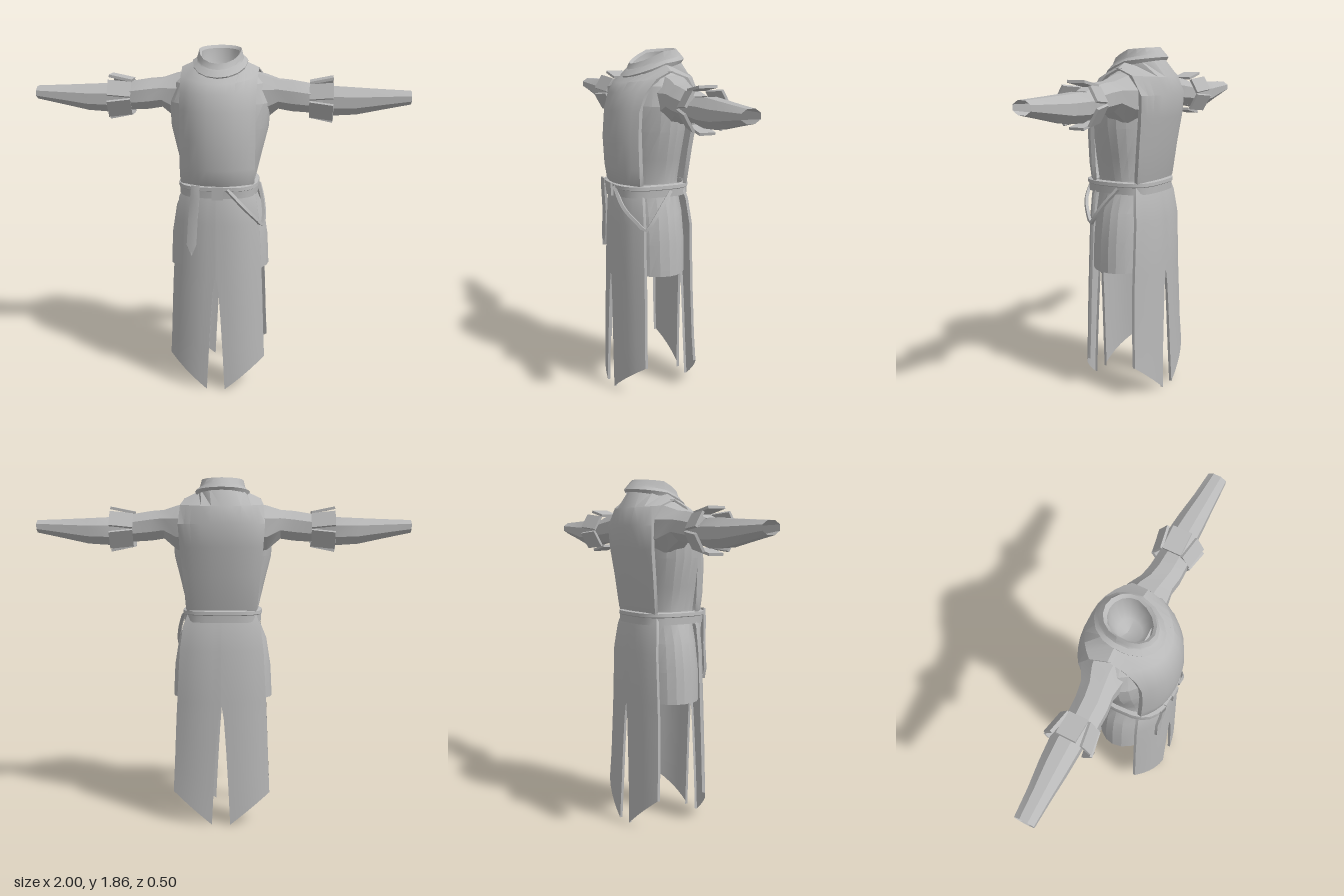
import * as THREE from 'three';
import { toCreasedNormals } from 'three/addons/utils/BufferGeometryUtils.js';

const cloth = new THREE.MeshStandardMaterial({ color: 0xb8b8b8, side: THREE.DoubleSide });
cloth.name = 'grey cloth';

function addMesh(parent, name, geometry) {
  const mesh = new THREE.Mesh(geometry, cloth);
  mesh.name = name;
  parent.add(mesh);
  return mesh;
}

// Surface through rows of [x, y, z] points with equal counts
function sheet(rows, crease = 0.55) {
  const n = rows[0].length, index = [];
  for (let r = 0; r < rows.length - 1; r++)
    for (let c = 0; c < n - 1; c++) {
      const a = r * n + c, b = a + 1, d = a + n, e = d + 1;
      index.push(a, b, e, a, e, d);
    }
  const g = new THREE.BufferGeometry();
  g.setAttribute('position', new THREE.Float32BufferAttribute(rows.flat(2), 3));
  g.setIndex(index);
  return toCreasedNormals(g, crease);
}

// Cloth panel with its two long edges turned inward to show thickness
function panel(parent, name, rows, inX, inZ) {
  addMesh(parent, name, sheet(rows));
  const last = rows[0].length - 1;
  for (const c of [0, last]) {
    const edge = rows.map(r => r[c]);
    addMesh(parent, name + 'Edge', sheet([edge, edge.map(([x, y, z]) => [x - Math.sign(x) * inX, y, z + inZ])]));
  }
}

// Horizontal closed ring; front and back depths differ, power squares the corners
function ring(y, hw, zf, zb, power = 2, n = 24) {
  const pts = [];
  for (let i = 0; i <= n; i++) {
    const a = (i / n) * Math.PI * 2, s = Math.sin(a), c = Math.cos(a), e = 2 / power;
    pts.push([hw * Math.sign(s) * Math.abs(s) ** e, y, (c > 0 ? zf : -zb) * Math.sign(c) * Math.abs(c) ** e]);
  }
  return pts;
}

// Tilted neck ring: depths and heights at front, side and back
function neckRing(hx, zf, zb, yf, ys, yb, n = 16) {
  const pts = [];
  for (let i = 0; i <= n; i++) {
    const a = (i / n) * Math.PI * 2, c = Math.cos(a), k = Math.abs(c);
    pts.push([hx * Math.sin(a), ys + ((c > 0 ? yf : yb) - ys) * k, -0.03 + ((c > 0 ? zf : zb) + 0.03) * k]);
  }
  return pts;
}

// Ring around the arm axis
function armRing([x, y, z, ry, rz], n = 8) {
  const pts = [];
  for (let i = 0; i <= n; i++) {
    const a = ((i + 0.5) / n) * Math.PI * 2;
    pts.push([x, y + ry * Math.cos(a), z + rz * Math.sin(a)]);
  }
  return pts;
}

const columns = [-1, -0.85, -0.7, -0.47, -0.23, 0, 0.23, 0.47, 0.7, 0.85, 1];

function torsoPanel(parent, name, profile, depth, rise) {
  const rows = profile.map(([y, hw, zc, ze, ye = y]) => columns.map(s => [
    s * hw, ye + (y - ye) * (1 - s * s), ze + (zc - ze) * (1 - Math.abs(s) ** 2.4)]));
  // Last row follows the neckline, then the shoulder seam
  rows.push(columns.map(s => {
    const t = Math.abs(s);
    if (t > 0.71) return [Math.sign(s) * (0.13 + 0.075 * (t - 0.7) / 0.3), 1.79 - 0.035 * (t - 0.7) / 0.3, -0.03];
    const a = (s / 0.7) * Math.PI / 2;
    return [0.13 * Math.sin(a), 1.79 + rise * Math.cos(a), -0.03 + depth * Math.cos(a)];
  }));
  panel(parent, name, rows, 0.004, -Math.sign(depth) * 0.022);
}

// Half of a split skirt: rows of [inner y, outer y, inner x, outer x, centre z, edge z]
function skirtPanel(parent, name, profile, side) {
  const rows = profile.map(([yi, yo, xi, xo, zc, ze]) => [0, 0.2, 0.4, 0.6, 0.8, 1].map(t => {
    const x = xi + (xo - xi) * t;
    return [side * x, yi + (yo - yi) * t, ze + (zc - ze) * (1 - (x / xo) ** 2.5)];
  }));
  panel(parent, name, rows, 0, profile[0][4] > 0 ? -0.015 : 0.015);
}

export function createModel() {
  const model = new THREE.Group();
  model.name = 'tunicOutfit';

  // Under tunic with short skirt
  const tunic = [
    [0.68, 0.272, 0.2, -0.17], [0.85, 0.264, 0.2, -0.17], [1.0, 0.24, 0.19, -0.16],
    [1.1, 0.2, 0.185, -0.145], [1.17, 0.195, 0.19, -0.14], [1.3, 0.225, 0.2, -0.155],
    [1.45, 0.262, 0.2, -0.175], [1.58, 0.27, 0.18, -0.19], [1.68, 0.235, 0.14, -0.18], [1.74, 0.17, 0.07, -0.13]];
  addMesh(model, 'underTunic', sheet(tunic.map(r => ring(...r)), 0.3));

  // Tabard chest and back: [y, half width, centre z, edge z, edge y]
  torsoPanel(model, 'tabardFront', [
    [1.14, 0.18, 0.205, 0.135], [1.17, 0.197, 0.225, 0.14], [1.25, 0.2, 0.24, 0.145], [1.4, 0.2, 0.25, 0.15],
    [1.55, 0.2, 0.238, 0.145], [1.64, 0.2, 0.215, 0.115], [1.69, 0.203, 0.185, 0.05, 1.715]], 0.15, -0.055);
  torsoPanel(model, 'tabardBack', [
    [1.14, 0.17, -0.155, -0.13], [1.17, 0.19, -0.165, -0.135], [1.35, 0.205, -0.2, -0.155], [1.5, 0.22, -0.23, -0.175],
    [1.62, 0.228, -0.245, -0.18], [1.71, 0.22, -0.222, -0.12, 1.72]], -0.13, 0.02);

  // Long skirt panels, split in the middle
  const frontSkirt = [
    [1.15, 1.15, 0, 0.18, 0.2, 0.12], [1.08, 1.08, 0, 0.207, 0.218, 0.13], [0.95, 0.95, 0, 0.225, 0.225, 0.132],
    [0.67, 0.67, 0, 0.24, 0.23, 0.135], [0.58, 0.6, 0.015, 0.244, 0.232, 0.135], [0.42, 0.48, 0.027, 0.249, 0.234, 0.137],
    [0.2, 0.32, 0.04, 0.255, 0.237, 0.138], [0, 0.17, 0.05, 0.262, 0.238, 0.14]];
  const backZ = [[-0.155, -0.12], [-0.175, -0.135], [-0.198, -0.15], [-0.203, -0.15], [-0.205, -0.15],
    [-0.208, -0.153], [-0.212, -0.157], [-0.218, -0.165]];
  const backSkirt = frontSkirt.map((r, i) => [...r.slice(0, 4), ...backZ[i]]);
  for (const side of [1, -1]) {
    const word = side > 0 ? 'left' : 'right';
    skirtPanel(model, word + 'FrontSkirt', frontSkirt, side);
    skirtPanel(model, word + 'BackSkirt', backSkirt, side);
  }

  // Collar: folded base, standing band and inner lining
  addMesh(model, 'collar', sheet([
    neckRing(0.14, 0.14, -0.18, 1.70, 1.765, 1.795), neckRing(0.147, 0.155, -0.19, 1.72, 1.79, 1.81),
    neckRing(0.125, 0.13, -0.175, 1.75, 1.805, 1.83), neckRing(0.12, 0.122, -0.165, 1.755, 1.82, 1.84),
    neckRing(0.112, 0.108, -0.145, 1.785, 1.85, 1.86), neckRing(0.1, 0.092, -0.125, 1.775, 1.835, 1.845)], 0.4));
  addMesh(model, 'neckLining', sheet([
    neckRing(0.1, 0.092, -0.125, 1.775, 1.835, 1.845), neckRing(0.095, 0.08, -0.115, 1.73, 1.76, 1.78),
    neckRing(0.06, 0.04, -0.08, 1.69, 1.7, 1.71), neckRing(0.002, -0.028, -0.032, 1.68, 1.68, 1.68)], 1));

  // Belt, with a buckle and two hanging straps
  addMesh(model, 'belt', sheet([
    ring(1.1, 0.195, 0.2, -0.16, 3), ring(1.1, 0.211, 0.226, -0.178, 3), ring(1.155, 0.211, 0.23, -0.178, 3),
    ring(1.16, 0.195, 0.2, -0.16, 3)]));
  addMesh(model, 'beltRidge', sheet([
    ring(1.138, 0.211, 0.226, -0.178, 3), ring(1.142, 0.216, 0.234, -0.183, 3), ring(1.16, 0.214, 0.234, -0.182, 3),
    ring(1.166, 0.195, 0.2, -0.16, 3)]));
  const buckle = addMesh(model, 'buckle', new THREE.BoxGeometry(0.06, 0.07, 0.016));
  buckle.position.set(0.01, 1.13, 0.234);

  const strapShape = [[1.17, -0.105, 0.022, 0.238], [1.1, -0.11, 0.024, 0.236], [0.98, -0.122, 0.025, 0.225],
    [0.84, -0.13, 0.026, 0.227], [0.78, -0.13, 0.002, 0.228]];
  panel(model, 'hangingStrap', strapShape.map(([y, x, w, z]) => [[x - w, y, z - 0.006], [x, y, z], [x + w, y, z - 0.006]]), 0, -0.015);

  const loop = new THREE.CatmullRomCurve3([
    [0.06, 1.15, 0.228], [0.15, 1.05, 0.215], [0.215, 0.97, 0.16], [0.24, 0.935, 0.125],
    [0.248, 0.98, 0.09], [0.236, 1.06, 0.03], [0.213, 1.13, -0.03]].map(p => new THREE.Vector3(...p)));
  addMesh(model, 'loopStrap', toCreasedNormals(new THREE.TubeGeometry(loop, 18, 0.012, 4), 0.6));

  // Sleeves, built on the left and mirrored to the right
  const upper = [[0.17, 1.6, -0.055, 0.14, 0.13], [0.24, 1.6, -0.05, 0.125, 0.115], [0.31, 1.618, -0.035, 0.082, 0.09],
    [0.38, 1.61, -0.025, 0.085, 0.088], [0.47, 1.6, -0.025, 0.08, 0.085], [0.54, 1.59, -0.03, 0.07, 0.08]];
  const lower = [[0.5, 1.585, -0.035, 0.065, 0.07], [0.6, 1.582, -0.048, 0.08, 0.082], [0.72, 1.583, -0.045, 0.073, 0.075],
    [0.86, 1.595, -0.038, 0.054, 0.062], [1.0, 1.607, -0.033, 0.036, 0.054]];
  for (const side of [1, -1]) {
    const arm = new THREE.Group();
    arm.name = side > 0 ? 'leftSleeve' : 'rightSleeve';
    const mirror = rows => rows.map(r => armRing(r).map(([x, y, z]) => [side * x, y, z]));
    addMesh(arm, 'upperSleeve', sheet(mirror(upper), 0.4));
    addMesh(arm, 'lowerSleeve', sheet(mirror(lower), 0.4));
    // Flared plates around the elbow
    for (let i = 0; i < 6; i++) {
      const hinge = new THREE.Group();
      hinge.name = 'elbowPlateHinge';
      hinge.position.set(side * 0.535, 1.592, -0.038);
      hinge.rotation.x = (i / 6) * Math.PI * 2;
      const plate = addMesh(hinge, 'elbowPlate', new THREE.BoxGeometry(0.125, 0.014, i % 2 ? 0.085 : 0.1));
      plate.position.y = 0.1;
      plate.rotation.z = side * 0.2;
      arm.add(hinge);
    }
    model.add(arm);
  }
  return model;
}
